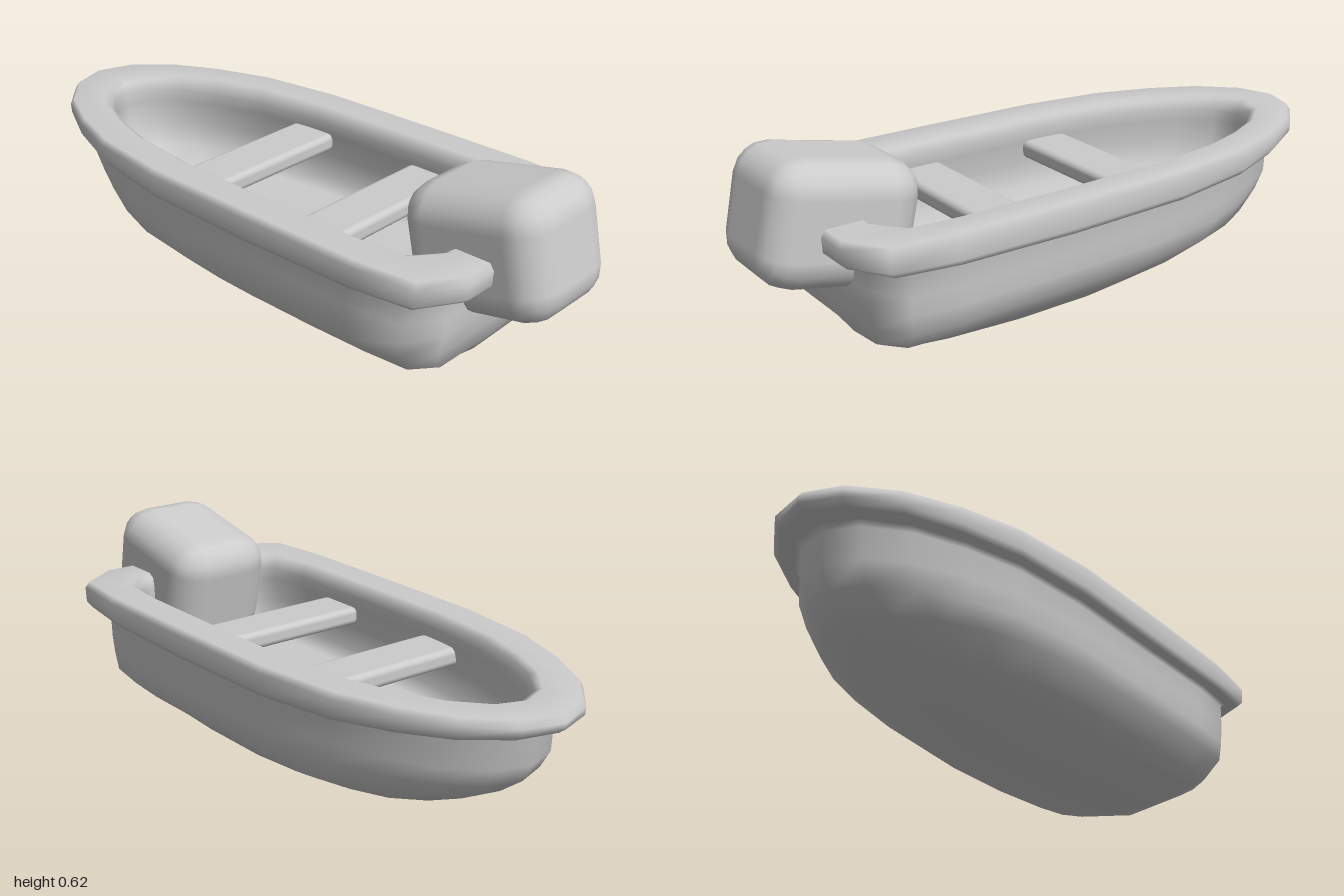
import * as THREE from 'three';
import { mergeVertices } from 'three/addons/utils/BufferGeometryUtils.js';
import { RoundedBoxGeometry } from 'three/addons/geometries/RoundedBoxGeometry.js';

// Half plan outline, bow to stern: [fraction of length, fraction of half width]
const HALF = [[0, 0], [0.021, 0.28], [0.08, 0.54], [0.162, 0.73], [0.264, 0.885], [0.415, 0.975],
  [0.64, 0.995], [0.85, 1], [0.957, 0.955], [1, 0.67], [1, 0]];
const OUTLINE = [...HALF, ...HALF.slice(1, -1).reverse().map(([u, w]) => [u, -w])];

// Rings from keel up over the rim and down to the floor:
// [bow x, stern x, half width, y, rise towards the ends, rise with width, fullness power]
const RINGS = [
  [-0.46, 0.68, 0, 0, 0.035, 0],
  [-0.46, 0.68, 0.25, 0, 0.035, 0.041, 0.65],
  [-0.64, 0.725, 0.30, 0.088, 0, 0, 0.8],
  [-0.78, 0.743, 0.36, 0.15, 0, 0, 0.9],
  [-0.86, 0.755, 0.369, 0.21, 0, 0],
  [-0.895, 0.757, 0.375, 0.27, 0, 0],
  [-0.90, 0.757, 0.377, 0.332, 0.012, 0],
  [-0.92, 0.77, 0.386, 0.344, 0.012, 0],
  [-0.975, 0.83, 0.41, 0.348, 0.012, 0],
  [-0.997, 0.85, 0.42, 0.366, 0.011, 0],
  [-1, 0.853, 0.421, 0.425, 0, 0],
  [-0.985, 0.84, 0.41, 0.445, 0, 0],
  [-0.865, 0.728, 0.315, 0.445, 0, 0],
  [-0.84, 0.706, 0.296, 0.432, 0, 0],
  [-0.83, 0.70, 0.288, 0.40, 0, 0],
  [-0.83, 0.70, 0.293, 0.36, 0, 0],
  [-0.83, 0.70, 0.31, 0.28, 0, 0],
  [-0.79, 0.69, 0.305, 0.20, 0, 0],
  [-0.70, 0.66, 0.27, 0.16, 0, 0],
  [-0.50, 0.60, 0, 0.15, 0, 0],
];

function loftGeometry() {
  const positions = [], index = [], n = OUTLINE.length;
  RINGS.forEach(([x0, x1, width, y, rise, deadrise, power = 1], r) => {
    OUTLINE.forEach(([u, w], i) => {
      const x = x0 + (x1 - x0) * u, across = Math.abs(w) ** power;
      positions.push(x, y + rise * ((x - 0.15) / 0.6) ** 2 + deadrise * across, width * across * Math.sign(w));
      if (r === RINGS.length - 1) return;
      const a = r * n + i, b = r * n + (i + 1) % n;
      index.push(a, b, b + n, a, b + n, a + n);
    });
  });
  const geometry = new THREE.BufferGeometry();
  geometry.setAttribute('position', new THREE.Float32BufferAttribute(positions, 3));
  geometry.setIndex(index);
  // Joins the two sides along keel and floor so the shading runs across
  const joined = mergeVertices(geometry);
  joined.computeVertexNormals();
  return joined;
}

export function createModel() {
  const model = new THREE.Group();
  model.name = 'motorBoat';
  const material = new THREE.MeshStandardMaterial({ color: 0xcccccc });
  const add = (name, geometry, x, y, z) => {
    const mesh = new THREE.Mesh(geometry, material);
    mesh.name = name;
    mesh.position.set(x, y, z);
    model.add(mesh);
    return mesh;
  };

  // Hull with rolled rim and hollow interior
  add('hull', loftGeometry(), 0, 0, 0);

  // Two cross benches
  [['frontBench', -0.217], ['rearBench', 0.274]].forEach(([name, x]) =>
    add(name, new RoundedBoxGeometry(0.168, 0.06, 0.6, 2, 0.02), x, 0.334, 0));

  // Outboard motor housing, tilted over the transom
  const motor = add('outboardMotor', new RoundedBoxGeometry(0.465, 0.37, 0.36, 2, 0.1), 0.755, 0.415, 0);
  motor.rotation.z = 0.21;

  return model;
}
